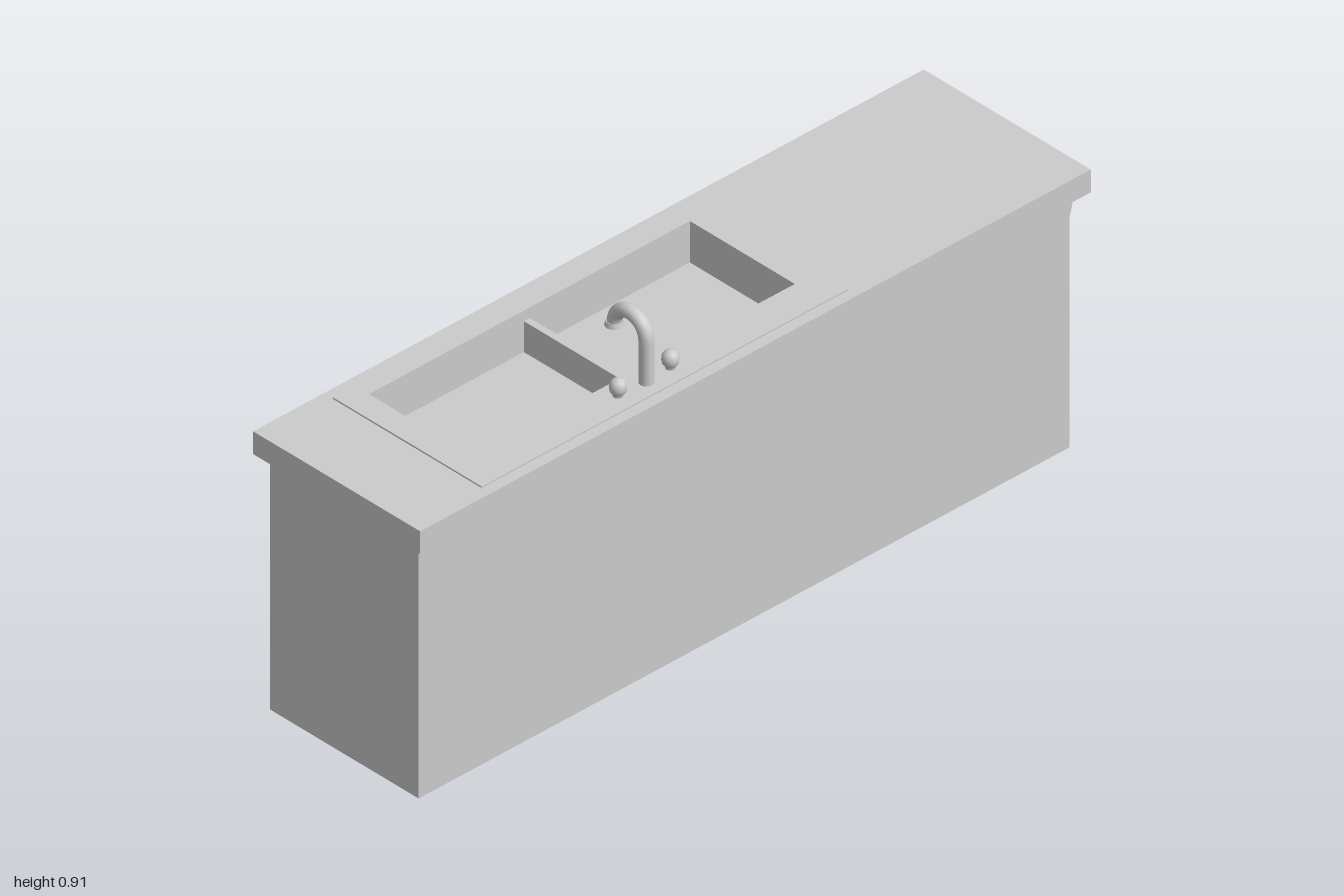
import * as THREE from 'three';
import { RoundedBoxGeometry } from 'three/addons/geometries/RoundedBoxGeometry.js';

const grey = new THREE.MeshStandardMaterial({ color: 0xcccccc });
const greyFlat = new THREE.MeshStandardMaterial({ color: 0xcccccc, flatShading: true, side: THREE.DoubleSide });

function add(group, name, geometry, x = 0, y = 0, z = 0, material = grey) {
  const mesh = new THREE.Mesh(geometry, material);
  mesh.name = name;
  mesh.position.set(x, y, z);
  group.add(mesh);
  return mesh;
}

// Corners of a rectangle in plan, given as x0, x1, z0, z1
const rect = ([x0, x1, z0, z1]) => [[x0, z0], [x1, z0], [x1, z1], [x0, z1]].map(p => new THREE.Vector2(...p));

// Flat slab with a rectangular opening, its top at y = 0
function frame(outer, inner, depth) {
  const shape = new THREE.Shape(rect(outer));
  shape.holes.push(new THREE.Path(rect(inner)));
  return new THREE.ExtrudeGeometry(shape, { depth, bevelEnabled: false }).rotateX(Math.PI / 2);
}

// Open-topped carcass; one upright edge is chamfered, fading out under the worktop
function carcassGeometry() {
  const levels = [[0, 0.014], [0.6, 0.014], [0.65, 0.001], [0.668, 0.001]];
  const pos = [], idx = [];
  for (const [y, c] of levels)
    pos.push(-0.225, y, 0.978, 0.243, y, 0.978, 0.243, y, -0.976 + c, 0.243 - c, y, -0.976, -0.225, y, -0.976);
  for (let l = 0; l < levels.length - 1; l++)
    for (let i = 0; i < 5; i++) {
      const a = l * 5 + i, b = l * 5 + (i + 1) % 5;
      idx.push(a, b, b + 5, a, b + 5, a + 5);
    }
  for (let i = 1; i < 4; i++) idx.push(0, i + 1, i);
  const g = new THREE.BufferGeometry();
  g.setAttribute('position', new THREE.Float32BufferAttribute(pos, 3));
  g.setIndex(idx);
  g.computeVertexNormals();
  return g;
}

const lathe = (points, sides = 20) =>
  new THREE.LatheGeometry(points.map(p => new THREE.Vector2(...p)), sides);

export function createModel() {
  const model = new THREE.Group();
  model.name = 'sinkCabinet';

  // Cabinet and worktop
  const opening = [-0.18, 0.15, -0.232, 0.725];
  const tubOuter = [-0.188, 0.158, -0.24, 0.733];
  add(model, 'cabinet', carcassGeometry(), 0, 0, 0, greyFlat);
  add(model, 'worktop', frame([-0.254, 0.271, -1, 1], tubOuter, 0.06), 0, 0.727, 0);

  // Double sink
  const sink = new THREE.Group();
  sink.name = 'sink';
  model.add(sink);
  add(sink, 'sinkRim', frame([-0.225, 0.243, -0.302, 0.79], opening, 0.004), 0, 0.731, 0);
  add(sink, 'sinkWalls', frame(tubOuter, opening, 0.116), 0, 0.7272, 0);
  add(sink, 'sinkFloor', new THREE.BoxGeometry(0.346, 0.008, 0.973), -0.015, 0.618, 0.2465);
  add(sink, 'sinkDivider', new THREE.BoxGeometry(0.33, 0.083, 0.018), -0.015, 0.6615, 0.254);

  // Tap: upright pipe, half-circle neck and flared outlet
  const tap = new THREE.Group();
  tap.name = 'tap';
  tap.position.z = 0.258;
  model.add(tap);
  const path = new THREE.CurvePath();
  const v = (x, y) => new THREE.Vector3(x, y, 0);
  path.add(new THREE.LineCurve3(v(0.2, 0.729), v(0.2, 0.84)));
  const arc = [];
  for (let i = 0; i <= 12; i++) {
    const a = Math.PI * i / 12;
    arc.push(v(0.15 + 0.05 * Math.cos(a), 0.84 + 0.051 * Math.sin(a)));
  }
  path.add(new THREE.CatmullRomCurve3(arc));
  add(tap, 'spout', new THREE.TubeGeometry(path, 48, 0.0175, 16));
  add(tap, 'outlet', new THREE.CylinderGeometry(0.019, 0.022, 0.012, 20), 0.099, 0.838, 0);

  // Tap handles
  const handle = [[0.012, 0], [0.012, 0.008], [0.018, 0.014], [0.02, 0.024],
    [0.019, 0.034], [0.014, 0.042], [0.007, 0.046], [0, 0.047]];
  for (const z of [0.182, 0.338]) add(model, 'tapHandle', lathe(handle), 0.195, 0.729, z);

  // Doors and knobs on the -x side
  const knob = [[0.008, 0], [0.006, 0.006], [0.006, 0.015], [0.022, 0.017], [0.023, 0.019],
    [0.018, 0.021], [0.008, 0.024], [0, 0.025]];
  for (const [z0, z1, knobZ] of [[-0.31, 0.254, 0.19], [0.262, 0.825, 0.325]]) {
    add(model, 'door', new RoundedBoxGeometry(0.034, 0.448, z1 - z0, 2, 0.007), -0.237, 0.364, (z0 + z1) / 2);
    add(model, 'doorKnob', lathe(knob).rotateZ(Math.PI / 2), -0.253, 0.437, knobZ);
  }
  return model;
}
